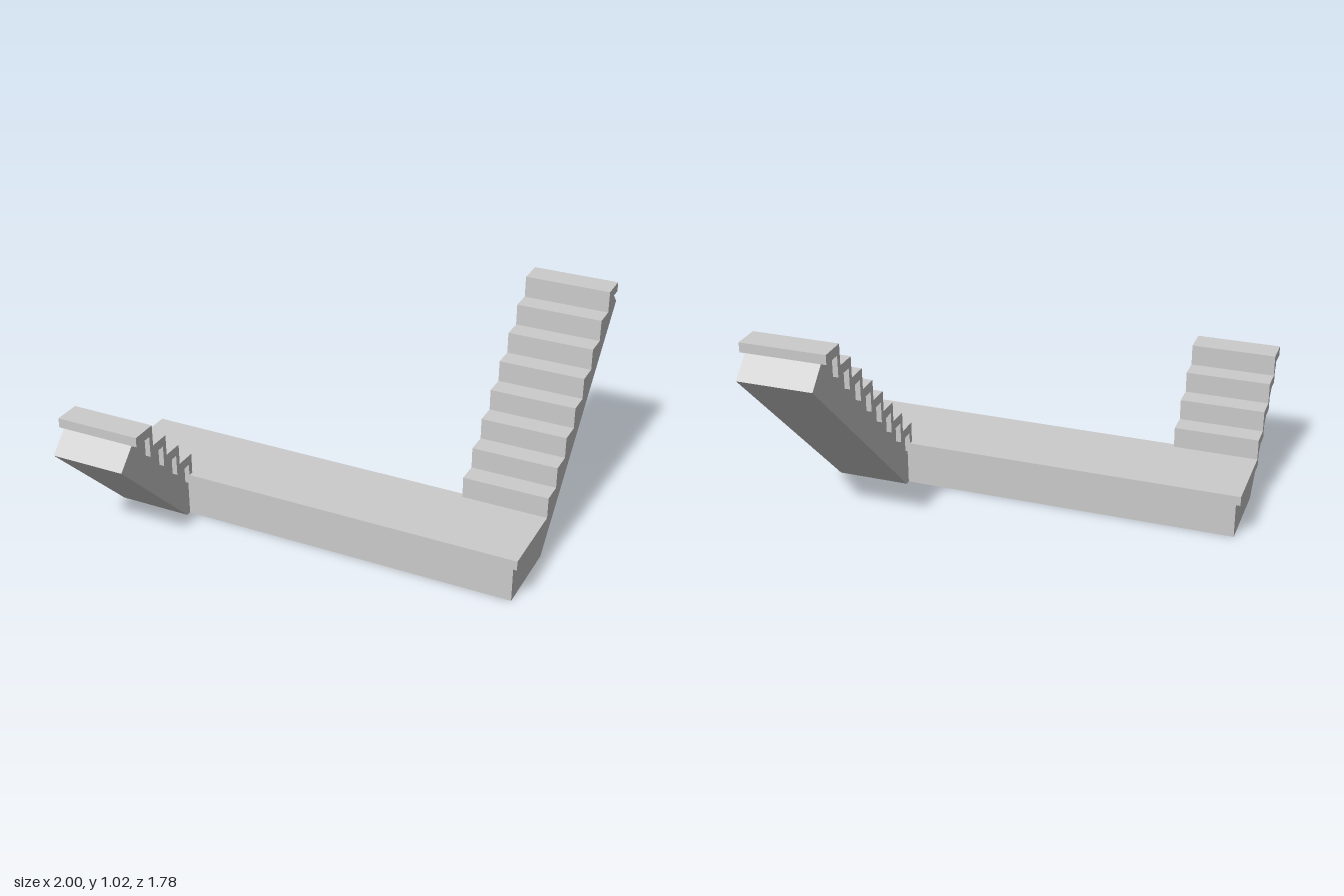
import * as THREE from 'three';

const material = new THREE.MeshStandardMaterial({ color: 0xcccccc, flatShading: true });

const STEP = 0.1;    // rise and run of every step
const BASE = 0.18;   // height of the concrete core at the landing
const COVER = 0.045; // thickness of the treads and of the landing slab
const LIP = 0.025;   // overhang of the cover past the core
const WIDTH = 0.4;

function addMesh(parent, name, geometry) {
  const mesh = new THREE.Mesh(geometry, material);
  mesh.name = name;
  parent.add(mesh);
  return mesh;
}

function addBox(parent, name, size, position) {
  addMesh(parent, name, new THREE.BoxGeometry(...size)).position.set(...position);
}

function extrude(points, depth) {
  const shape = new THREE.Shape(points.map(([u, y]) => new THREE.Vector2(u, y)));
  return new THREE.ExtrudeGeometry(shape, { depth, bevelEnabled: false });
}

// A flight climbs along its local +x and spans WIDTH along local z.
function createFlight(name, count) {
  const flight = new THREE.Group();
  flight.name = name;
  const end = count * STEP;

  // Sloped core with a square-cut upper end and a stepped top
  const core = [[-LIP, 0], [0, 0], [end + BASE / 2, end + BASE / 2]];
  for (let i = count; i >= 1; i--) {
    core.push([i * STEP, i * STEP + BASE], [(i - 1) * STEP, i * STEP + BASE]);
  }
  core.push([0, BASE], [-LIP, BASE]);
  addMesh(flight, 'flightCore', extrude(core, WIDTH - 2 * LIP)).position.z = LIP;

  // Folded cover of treads and risers
  const lower = [[0, BASE + COVER]];
  const upper = [[-LIP, BASE + COVER]];
  for (let i = 1; i <= count; i++) {
    const y = BASE + i * STEP;
    const last = i === count;
    lower.push([(i - 1) * STEP, y], [i * STEP, y]);
    upper.push([(i - 1) * STEP - LIP, y + COVER], [i * STEP - (last ? 0 : LIP), y + COVER]);
  }
  addMesh(flight, 'treadsAndRisers', extrude([...lower, ...upper.reverse()], WIDTH));
  return flight;
}

export function createModel() {
  const model = new THREE.Group();
  model.name = 'staircase';

  // Landing between the two flights
  addBox(model, 'landingCore', [2 - 2 * LIP, BASE, WIDTH - 2 * LIP], [0, BASE / 2, 0.2]);
  addBox(model, 'landingSlab', [2, COVER, WIDTH], [0, BASE + COVER / 2, 0.2]);

  // Long flight climbs to the back on the left
  const back = createFlight('longFlight', 8);
  back.rotation.y = Math.PI / 2;
  back.position.set(0.6, 0, 0);

  // Short flight climbs to the front on the right
  const front = createFlight('shortFlight', 4);
  front.rotation.y = -Math.PI / 2;
  front.position.set(-0.6, 0, WIDTH);

  model.add(back, front);
  return model;
}
